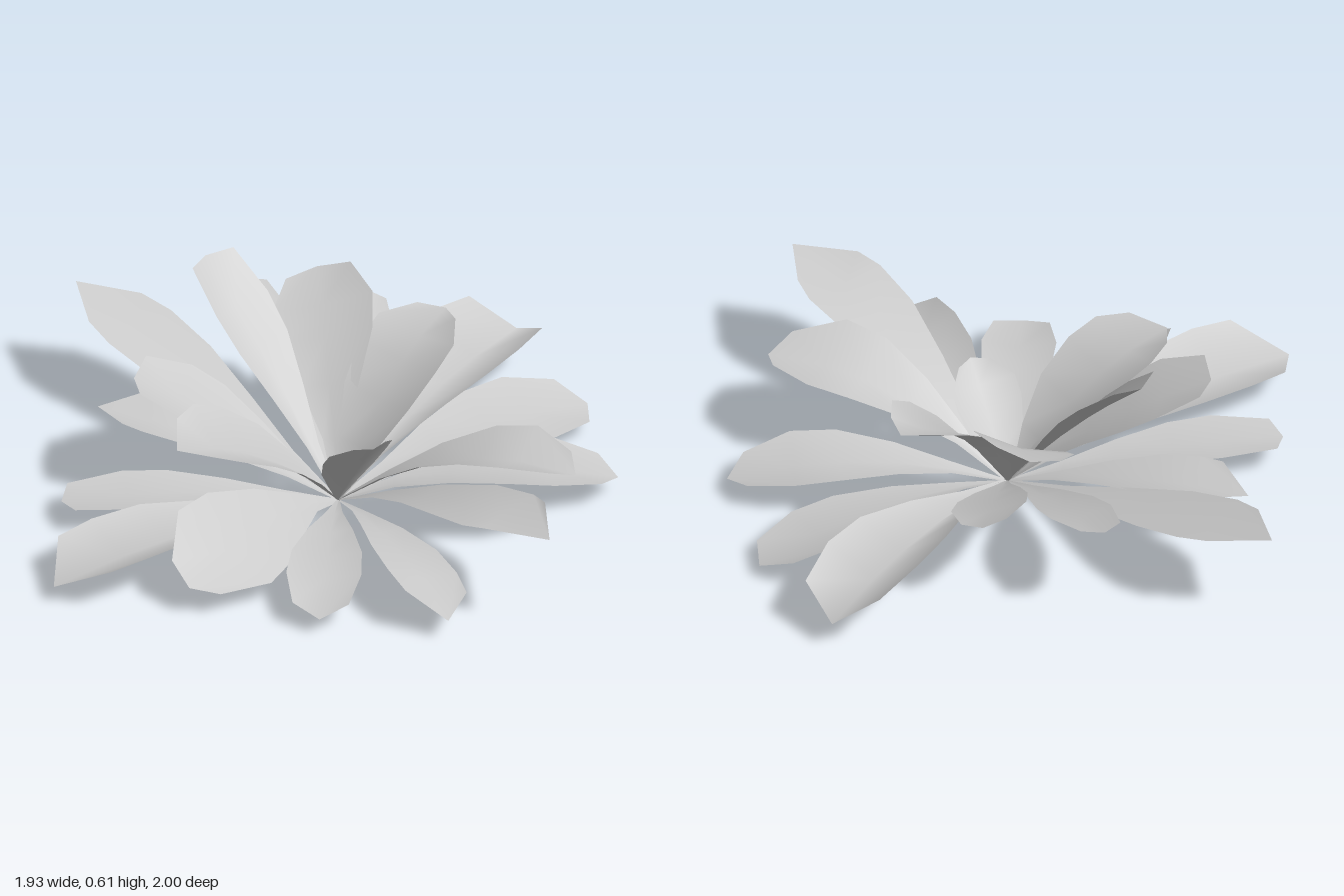
import * as THREE from 'three';

const BASE = new THREE.Vector3(-0.02, 0.012, 0.055);

// Leaf outlines: [distance along the midrib, share of full half-width]
const TAPERED = [[0, 0.04], [0.2, 0.22], [0.4, 0.59], [0.6, 0.93], [0.76, 1]];
const BROAD = [[0, 0.05], [0.2, 0.46], [0.4, 0.84], [0.6, 1], [0.76, 0.98]];

// Folded blade arching from the crown to the tip.
// midY: height halfway; cup: rise of both edges; roll: sideways tilt;
// corner: share of the width at the end corners; setback: how far they lie behind the tip
function leafGeometry({ tip, midY, width, cup, roll = 0, corner, setback, outline = TAPERED }) {
  const end = new THREE.Vector3(...tip);
  const control = BASE.clone().add(end).multiplyScalar(0.5);
  control.y = 2 * midY - control.y;
  const spine = new THREE.QuadraticBezierCurve3(BASE, control, end);
  const side = new THREE.Vector3(end.z - BASE.z, 0, BASE.x - end.x).normalize();

  const positions = [], indices = [];
  [...outline, [1, corner]].forEach(([t, share], row) => {
    const centre = spine.getPoint(t);
    const tangent = spine.getTangent(t);
    const up = new THREE.Vector3().crossVectors(side, tangent).normalize();
    if (up.y < 0) up.negate();
    const half = share * width / 2;
    for (const s of [-1, 0, 1]) {
      const p = centre.clone().addScaledVector(side, s * half)
        .addScaledVector(up, half * (cup * Math.abs(s) + roll * s));
      if (t === 1) p.addScaledVector(tangent, -setback * Math.abs(s));
      positions.push(p.x, Math.max(p.y, 0), p.z);
    }
    if (row === 0) return;
    for (const i of [0, 1]) {
      const a = (row - 1) * 3 + i, b = a + 3;
      indices.push(a, a + 1, b, a + 1, b + 1, b);
    }
  });
  const geometry = new THREE.BufferGeometry();
  geometry.setAttribute('position', new THREE.Float32BufferAttribute(positions, 3));
  geometry.setIndex(indices);
  geometry.computeVertexNormals();
  return geometry;
}

// Steep leaves around the heart
const INNER = [
  { tip: [0.06, 0.61, -0.49], midY: 0.34, width: 0.21, cup: 0.3, corner: 0.8, setback: 0.02 },
  { tip: [0.39, 0.47, -0.33], midY: 0.32, width: 0.29, cup: 0.15, roll: -0.3, corner: 0.65, setback: 0.03 },
  { tip: [0.47, 0.44, 0.08], midY: 0.31, width: 0.29, cup: 0.25, corner: 0.5, setback: 0.04, outline: BROAD },
  { tip: [-0.53, 0.355, -0.15], midY: 0.25, width: 0.33, cup: 0.3, roll: -0.1, corner: 0.65, setback: 0.06, outline: BROAD },
  { tip: [-0.12, 0.31, 0.26], midY: 0.17, width: 0.21, cup: 0.35, corner: 0.5, setback: 0.02, outline: BROAD },
  { tip: [-0.34, 0.4, -0.45], midY: 0.24, width: 0.31, cup: 0.2, corner: 0.7, setback: 0.02 },
];

// Middle ring, raised at an angle
const MIDDLE = [
  { tip: [0.11, 0.31, -1.0], midY: 0.17, width: 0.26, cup: 0.15, corner: 0.85, setback: 0.16 },
  { tip: [0.39, 0.33, -0.6], midY: 0.19, width: 0.19, cup: 0.15, corner: 0.65, setback: 0.03 },
  { tip: [0.57, 0.32, -0.29], midY: 0.19, width: 0.22, cup: 0.15, roll: 0.2, corner: 0.6, setback: 0.03 },
  { tip: [0.17, 0.27, 0.78], midY: 0.235, width: 0.31, cup: 0.32, roll: -0.1, corner: 0.52, setback: 0.05 },
  { tip: [-0.25, 0.335, 1.0], midY: 0.24, width: 0.27, cup: 0.15, corner: 0.85, setback: 0.16 },
];

// Outer ring, arching out and drooping low
const OUTER = [
  { tip: [0.96, 0.09, -0.03], midY: 0.105, width: 0.31, cup: 0.6, roll: 0.1, corner: 0.82, setback: 0.07 },
  { tip: [0.8, 0.05, 0.35], midY: 0.09, width: 0.29, cup: 0.15, roll: 0.2, corner: 0.7, setback: 0.06 },
  { tip: [0.51, 0.06, 0.68], midY: 0.1, width: 0.28, cup: 0.2, corner: 0.62, setback: 0.06 },
  { tip: [-0.45, 0.075, 0.78], midY: 0.1, width: 0.22, cup: 0.3, roll: -0.3, corner: 0.9, setback: 0.1 },
  { tip: [-0.65, 0.06, 0.46], midY: 0.09, width: 0.22, cup: 0.2, corner: 0.75, setback: 0.05 },
  { tip: [-0.79, 0.1, 0.09], midY: 0.13, width: 0.32, cup: 0.1, roll: -0.45, corner: 0.5, setback: 0.04 },
  { tip: [-0.97, 0.06, -0.27], midY: 0.08, width: 0.31, cup: 0.42, roll: 0.08, corner: 0.92, setback: 0.12 },
  { tip: [-0.6, 0.08, -0.52], midY: 0.075, width: 0.22, cup: 0.15, corner: 0.7, setback: 0.03 },
  { tip: [-0.21, 0.155, -0.68], midY: 0.12, width: 0.22, cup: 0.25, corner: 0.92, setback: 0.12 },
];

export function createModel() {
  const model = new THREE.Group();
  model.name = 'rosettePlant';
  const material = new THREE.MeshStandardMaterial({ color: 0xcccccc, side: THREE.DoubleSide });
  const rings = { innerLeaf: INNER, middleLeaf: MIDDLE, outerLeaf: OUTER };
  for (const [name, leaves] of Object.entries(rings)) {
    const ring = new THREE.Group();
    ring.name = name + 'Ring';
    leaves.forEach((leaf, i) => {
      const mesh = new THREE.Mesh(leafGeometry(leaf), material);
      mesh.name = name + (i + 1);
      ring.add(mesh);
    });
    model.add(ring);
  }
  return model;
}
